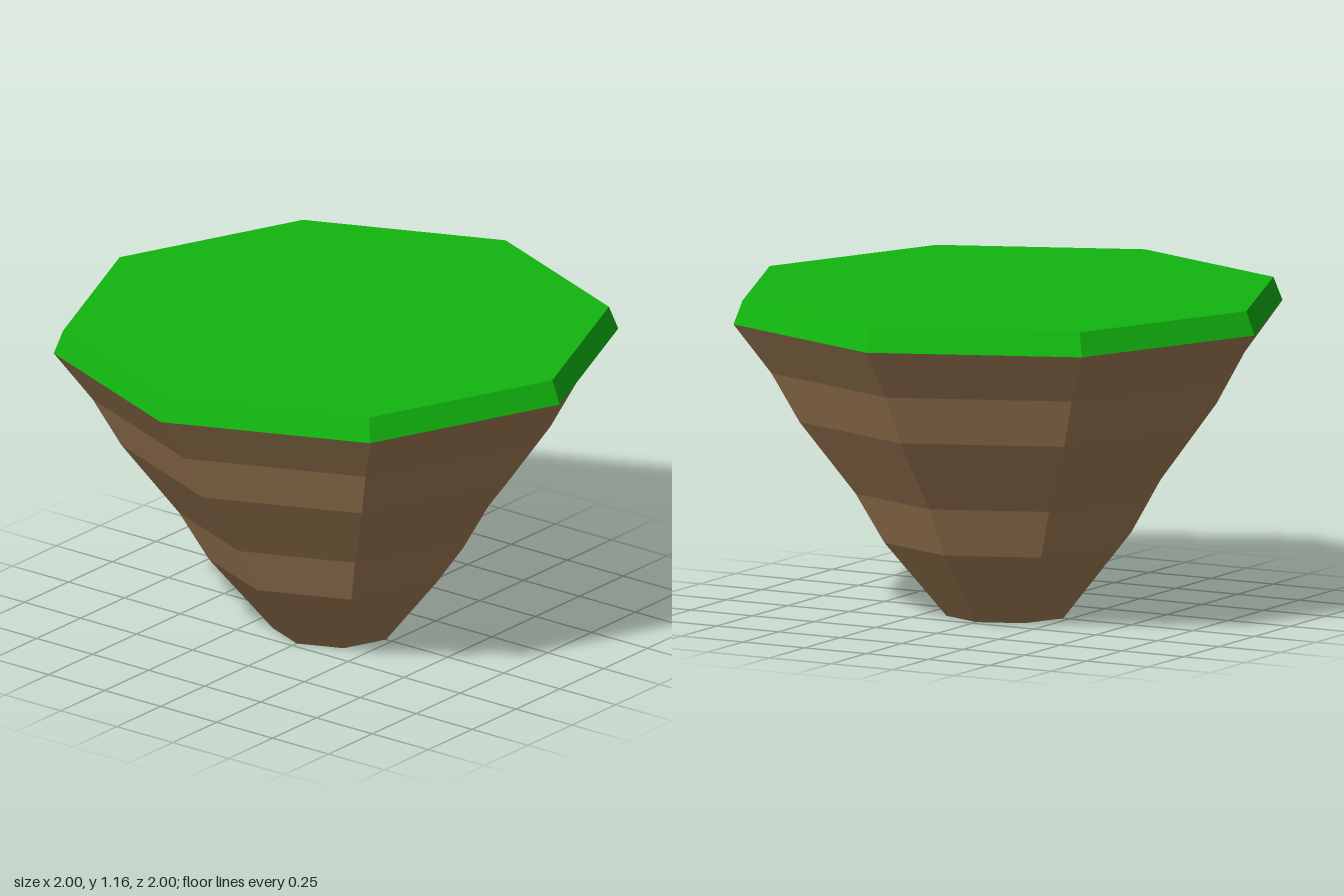
import * as THREE from 'three';

const SIDES = 8;

// Faceted solid turned from [radius, height] pairs, listed bottom to top
function turned(name, profile, material) {
  const points = profile.map(([r, y]) => new THREE.Vector2(r, y));
  const geometry = new THREE.LatheGeometry(points, SIDES).toNonIndexed();
  geometry.computeVertexNormals();
  const mesh = new THREE.Mesh(geometry, material);
  mesh.name = name;
  return mesh;
}

export function createModel() {
  const soil = new THREE.MeshStandardMaterial({ color: 0xac865c });
  soil.name = 'soil brown';
  const grass = new THREE.MeshStandardMaterial({ color: 0x11b60f });
  grass.name = 'grass green';

  const group = new THREE.Group();
  group.name = 'floatingIsland';

  // Tapering earth with stepped slopes and a flat underside
  group.add(turned('earthBase', [
    [0, 0], [0.224, 0], [0.45, 0.27], [0.555, 0.45],
    [0.76, 0.715], [0.862, 0.893], [1, 1.073],
  ], soil));

  // Bevelled grass slab
  group.add(turned('grassTop', [[1, 1.073], [0.967, 1.157], [0, 1.157]], grass));

  return group;
}
